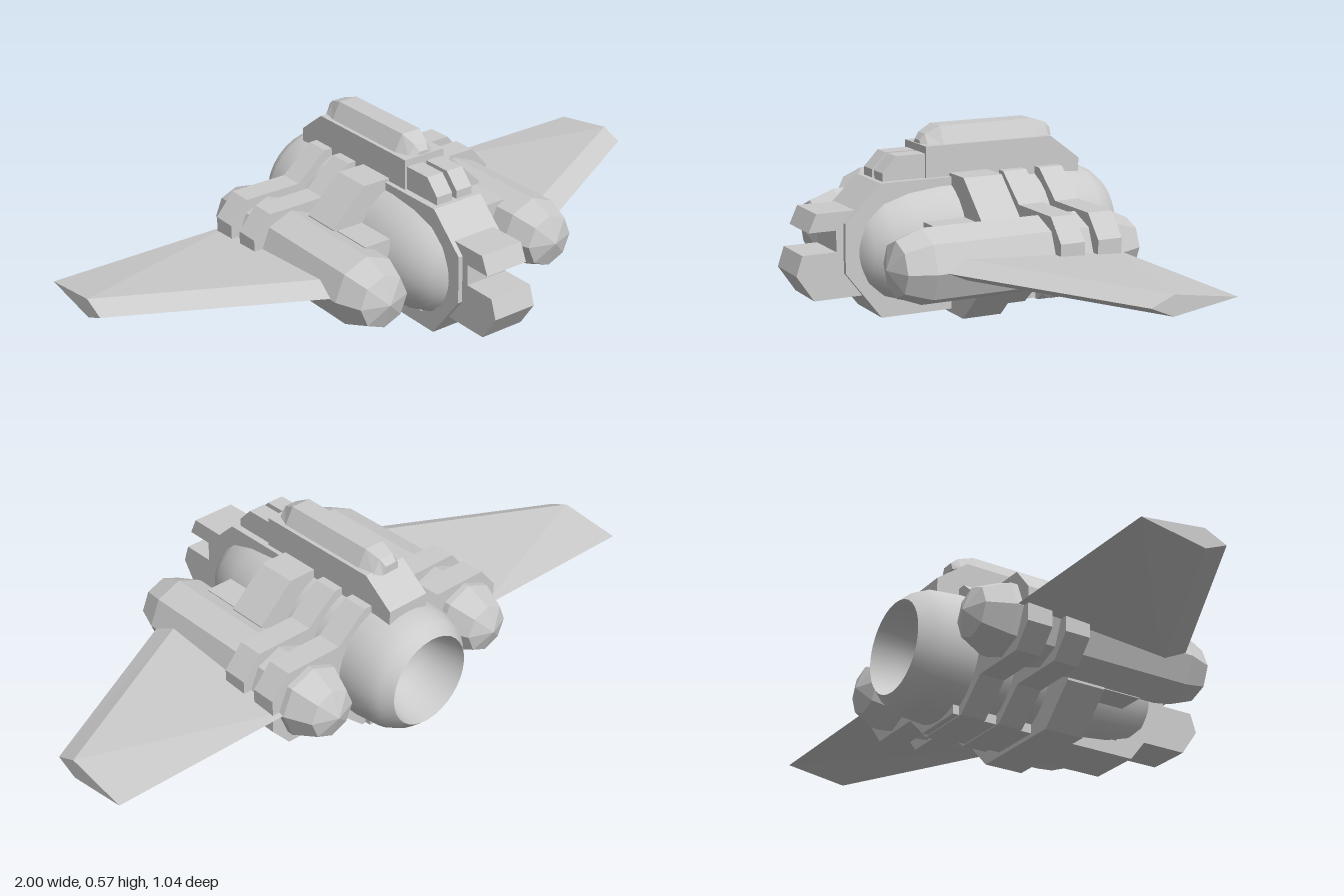
import * as THREE from 'three';

const CY = 0.218; // height of the engine axis
const flat = new THREE.MeshStandardMaterial({ color: 0xcccccc, flatShading: true });
const smooth = new THREE.MeshStandardMaterial({ color: 0xcccccc });

const toShape = (pts) => new THREE.Shape(pts.map(([a, b]) => new THREE.Vector2(a, b)));

// Side outline of [z, y] points, extruded across x and centred on cx
function sidePlate(pts, width, cx = 0) {
  const g = new THREE.ExtrudeGeometry(toShape(pts), { depth: width, bevelEnabled: false });
  return g.translate(0, 0, -width / 2).rotateY(-Math.PI / 2).translate(cx, 0, 0);
}

// Half outline of [x, y] points from top to bottom, mirrored and extruded along z
function band(half, zBack, zFront) {
  const pts = [...half, ...half.map(([x, y]) => [-x, y]).reverse()];
  const g = new THREE.ExtrudeGeometry(toShape(pts), { depth: zFront - zBack, bevelEnabled: false });
  return g.translate(0, 0, zBack);
}

// Turned body along z from [radius, z] points, back to front
function turned(pts, sides, cx = 0) {
  const g = new THREE.LatheGeometry(pts.map(([r, z]) => new THREE.Vector2(r, z)), sides);
  return g.rotateX(Math.PI / 2).translate(cx, CY, 0);
}

// Skin between equal-sized rings of [x, y, z] points, with end caps
function loft(rings) {
  const n = rings[0].length, last = (rings.length - 1) * n, idx = [];
  for (let r = 0; r < rings.length - 1; r++) {
    for (let i = 0; i < n; i++) {
      const a = r * n + i, b = r * n + (i + 1) % n;
      idx.push(a, b, b + n, a, b + n, a + n);
    }
  }
  for (let i = 1; i < n - 1; i++) idx.push(0, i + 1, i, last, last + i, last + i + 1);
  const g = new THREE.BufferGeometry();
  g.setAttribute('position', new THREE.Float32BufferAttribute(rings.flat(2), 3));
  g.setIndex(idx);
  g.computeVertexNormals();
  return g;
}

export function createModel() {
  const group = new THREE.Group();
  const add = (name, geometry, material = flat) => {
    const mesh = new THREE.Mesh(geometry, material);
    mesh.name = name;
    group.add(mesh);
    return mesh;
  };

  // Central round hull with a hollow exhaust at the back
  add('hull', turned([[0.143, -0.522], [0.172, -0.49], [0.19, -0.45], [0.198, -0.37], [0.198, 0.06],
    [0.187, 0.165], [0.165, 0.245], [0.13, 0.295], [0.085, 0.328], [0, 0.348]], 32), smooth);
  add('exhaust', turned([[0, -0.35], [0.05, -0.36], [0.095, -0.39], [0.125, -0.44], [0.143, -0.522]], 32), smooth);

  // Keel strip wrapping the hull underneath, over the nose and along the top
  add('keel', sidePlate([[-0.37, 0.013], [0.255, 0.013], [0.37, 0.16], [0.37, 0.31], [0.255, 0.42],
    [0.0, 0.42], [0.0, 0.37], [0.2, 0.35], [0.28, 0.28], [0.28, 0.16], [0.2, 0.06], [-0.37, 0.06]], 0.175));

  // Notched nose block
  add('nose', sidePlate([[0.3, 0.085], [0.465, 0.085], [0.52, 0.165], [0.5, 0.225], [0.393, 0.225],
    [0.393, 0.29], [0.48, 0.29], [0.455, 0.345], [0.3, 0.345]], 0.146));

  // Spine with a chamfered cap on top
  add('spine', sidePlate([[-0.425, 0.393], [0.1, 0.393], [0.1, 0.515], [-0.325, 0.515], [-0.425, 0.44]], 0.146));
  const capRing = ([z, base, top, y]) =>
    [[-base, 0.51, z], [base, 0.51, z], [top, y, z], [-top, y, z]];
  add('spineCap', loft([[-0.35, 0.03, 0.02, 0.535], [-0.33, 0.05, 0.025, 0.552], [-0.28, 0.063, 0.033, 0.567],
    [0.035, 0.063, 0.033, 0.567], [0.08, 0.045, 0.022, 0.545], [0.095, 0.025, 0.015, 0.525]].map(capRing)));

  // Clamp bands joining the hull and the pods
  add('middleBand', band([[0.165, 0.43], [0.28, 0.32], [0.28, 0.112], [0.165, 0]], -0.105, 0.023));
  const clamp = [[0.1, 0.425], [0.2, 0.34], [0.39, 0.34], [0.45, 0.27], [0.45, 0.165],
    [0.39, 0.098], [0.2, 0.098], [0.1, 0.01]];
  add('frontClamp', band(clamp, -0.225, -0.145));
  add('rearClamp', band(clamp, -0.35, -0.27));

  // Wing sections, back edge first
  const wingRing = (x, front, ridge) =>
    [[x, 0.22, -0.368], [x, 0.25, ridge], [x, 0.22, front], [x, 0.19, ridge]];
  const wing = loft([wingRing(0.38, 0.235, 0.16), wingRing(1, -0.095, -0.165)]);

  for (const [side, s] of [['left', 1], ['right', -1]]) {
    // Eight-sided engine pod
    add(side + 'Pod', turned([[0, -0.48], [0.077, -0.45], [0.113, -0.37], [0.113, 0.235],
      [0.083, 0.315], [0, 0.345]], 8, s * 0.315));

    add(side + 'Wing', wing).scale.x = s;

    // Filler block between hull and pod
    add(side + 'Filler', new THREE.BoxGeometry(0.09, 0.19, 0.16).translate(s * 0.22, CY, 0.08));

    // Canopy block ahead of the spine
    add(side + 'Canopy', sidePlate([[0.08, 0.4], [0.24, 0.4], [0.24, 0.445], [0.195, 0.493], [0.08, 0.493]],
      0.057, s * 0.0365));
  }
  return group;
}
